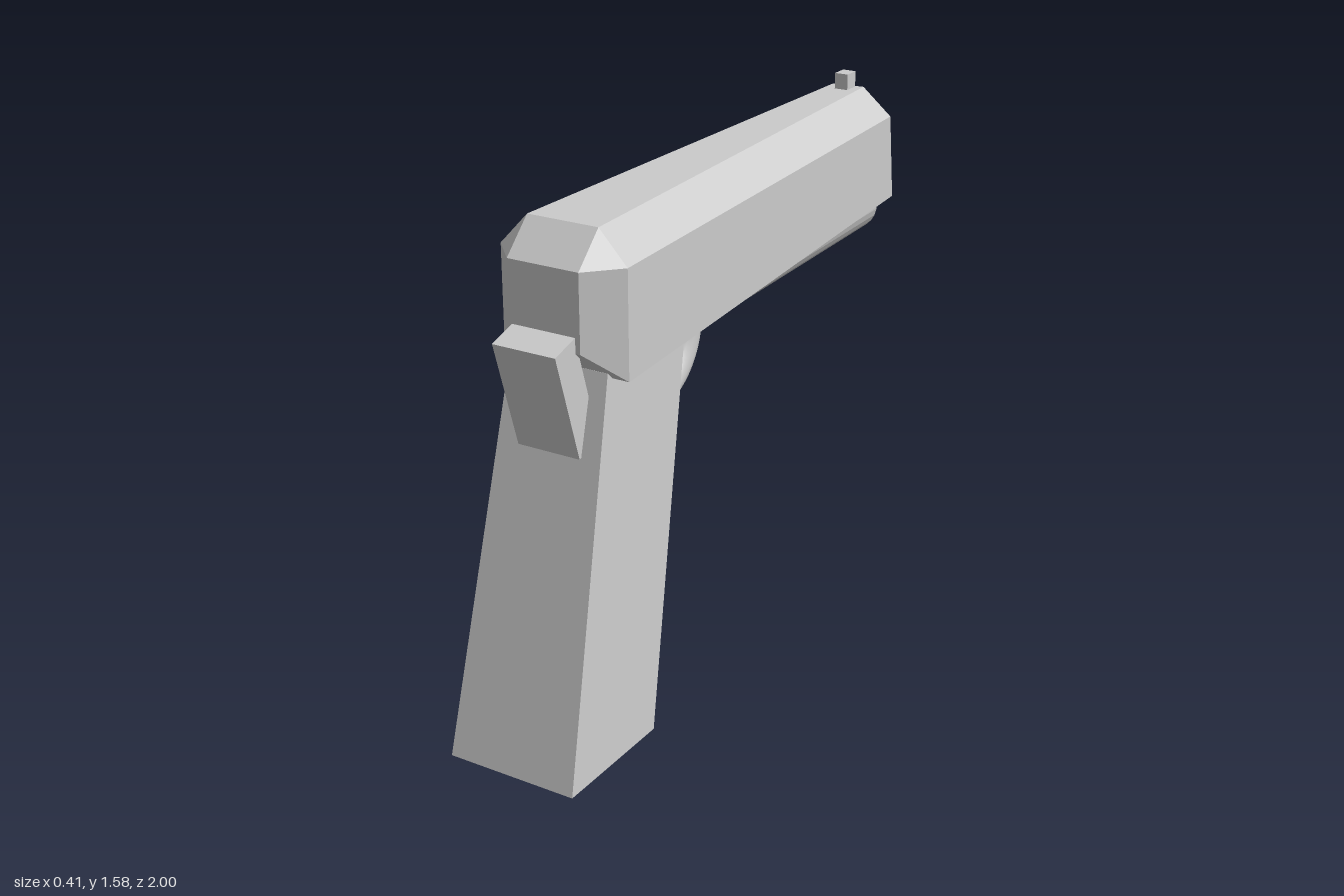
import * as THREE from 'three';

const grey = new THREE.MeshStandardMaterial({ color: 0xcccccc, flatShading: true });
const smoothGrey = new THREE.MeshStandardMaterial({ color: 0xcccccc });

// Capped solid through cross-sections, each listed counter-clockwise as seen from the first end
function loft(rings) {
  const pos = [];
  const tri = (a, b, c) => {
    const [p, q, r] = [a, b, c].map(v => new THREE.Vector3(...v));
    if (q.clone().sub(p).cross(r.clone().sub(p)).length() > 1e-9) pos.push(...a, ...b, ...c);
  };
  const n = rings[0].length;
  for (let k = 0; k < rings.length - 1; k++) {
    const A = rings[k], B = rings[k + 1];
    for (let i = 0; i < n; i++) {
      const j = (i + 1) % n;
      tri(A[i], B[i], A[j]);
      tri(A[j], B[i], B[j]);
    }
  }
  const first = rings[0], last = rings[rings.length - 1];
  for (let i = 1; i < n - 1; i++) {
    tri(first[0], first[i], first[i + 1]);
    tri(last[0], last[i + 1], last[i]);
  }
  const geo = new THREE.BufferGeometry();
  geo.setAttribute('position', new THREE.Float32BufferAttribute(pos, 3));
  geo.computeVertexNormals();
  return geo;
}

// Round section whose end plane leans along z
function circle(x, y, z, r, lean, sides = 28) {
  return Array.from({ length: sides }, (_, i) => {
    const a = (i / sides) * Math.PI * 2, dy = Math.sin(a) * r;
    return [x + Math.cos(a) * r, y + dy, z + lean * dy];
  });
}

export function createModel() {
  const model = new THREE.Group();
  const add = (name, geometry, material = grey) => {
    const mesh = new THREE.Mesh(geometry, material);
    mesh.name = name;
    model.add(mesh);
    return mesh;
  };

  // Slide: small rear face, full bevelled section, tapered raked muzzle
  add('slide', loft([
    [[-0.11, 1.2, 0.785], [0.115, 1.2, 0.785], [0.115, 1.425, 0.785],
      [0.115, 1.425, 0.785], [-0.11, 1.425, 0.785], [-0.11, 1.425, 0.785]],
    [[-0.2, 1.11, 0.69], [0.203, 1.11, 0.69], [0.203, 1.425, 0.69],
      [0.115, 1.52, 0.69], [-0.11, 1.52, 0.69], [-0.2, 1.425, 0.69]],
    [[-0.145, 1.165, -0.988], [0.13, 1.165, -1], [0.13, 1.44, -0.965],
      [0.04, 1.53, -0.945], [-0.065, 1.53, -0.935], [-0.15, 1.44, -0.942]],
  ]));

  // Grip: raked block, narrowing upward
  add('grip', loft([
    [[-0.165, 1.13, 0.712], [0.15, 1.13, 0.712], [0.15, 1.13, 0.328], [-0.165, 1.13, 0.328]],
    [[-0.207, 0, 1], [0.203, 0, 1], [0.203, 0, 0.59], [-0.207, 0, 0.59]],
  ]));

  // Round rod under the slide
  add('underBarrel', loft([
    circle(0, 1.127, 0.38, 0.11, 0),
    circle(-0.01, 1.152, -0.95, 0.11, 0.17),
  ]));

  // Rear tang: tilted block
  const tang = add('rearTang', new THREE.BoxGeometry(0.2, 0.335, 0.094));
  tang.position.set(0, 1.071, 0.782);
  tang.rotation.x = 0.295;

  // Trigger guard: part of a ring from the rod into the grip
  const guard = add('triggerGuard', new THREE.TorusGeometry(0.2, 0.047, 16, 32, 2.75), smoothGrey);
  guard.geometry.rotateZ(Math.PI - 0.1);
  guard.rotation.y = -Math.PI / 2;
  guard.position.set(0, 1.07, 0.28);

  // Front sight
  const sight = add('frontSight', new THREE.BoxGeometry(0.045, 0.06, 0.055));
  sight.position.set(-0.008, 1.55, -0.908);

  return model;
}
